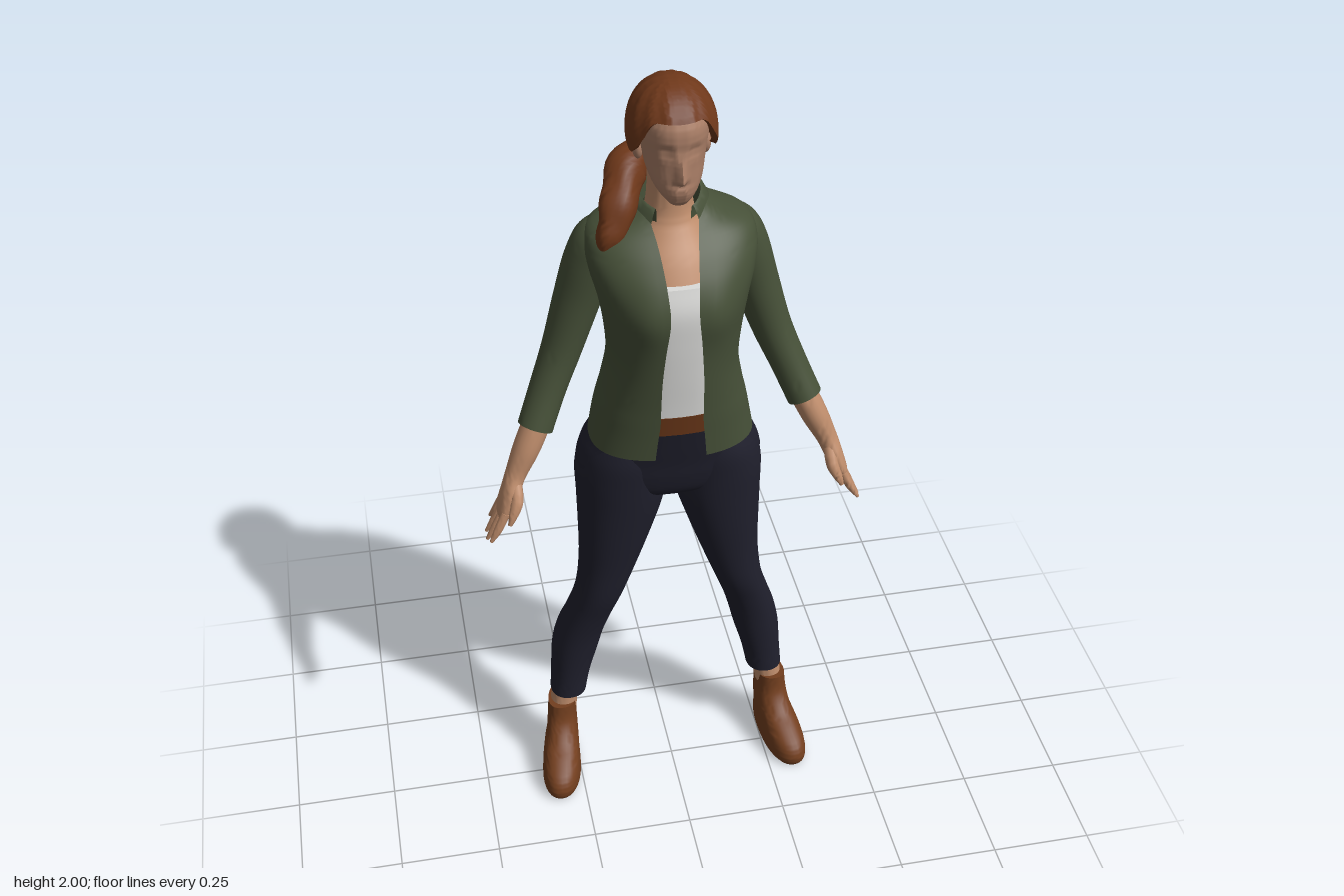
import * as THREE from 'three';
import { toCreasedNormals } from 'three/addons/utils/BufferGeometryUtils.js';

const paint = (name, color, side = THREE.FrontSide) => {
  const m = new THREE.MeshStandardMaterial({ color, side });
  m.name = name;
  return m;
};
const gauss = (d) => Math.exp(-d * d);
const spow = (v, p) => Math.sign(v) * Math.abs(v) ** p;
const clamp = THREE.MathUtils.clamp, smooth = THREE.MathUtils.smoothstep;

// Catmull-Rom interpolation of every column in a table of cross-sections
function sample(rows, t) {
  const f = t * (rows.length - 1), i = Math.min(Math.floor(f), rows.length - 2), k = f - i;
  const at = (j) => rows[clamp(j, 0, rows.length - 1)];
  return rows[0].map((_, c) => {
    const [a, b, d, e] = [at(i - 1)[c], at(i)[c], at(i + 1)[c], at(i + 2)[c]];
    return b + 0.5 * k * (d - a + k * (2 * a - 5 * b + 4 * d - e + k * (3 * (b - d) + e - a)));
  });
}

// Surface through a grid of points; side = -1 mirrors it in x
function grid(nu, nv, point, { closed = true, caps = true, side = 1 } = {}) {
  const pos = [], index = [], cols = closed ? nv : nv + 1;
  const tri = (a, b, c) => (side > 0 ? index.push(a, b, c) : index.push(a, c, b));
  for (let i = 0; i <= nu; i++)
    for (let j = 0; j < cols; j++) {
      const [x, y, z] = point(i / nu, j / nv);
      pos.push(x * side, y, z);
    }
  for (let i = 0; i < nu; i++)
    for (let j = 0; j < nv; j++) {
      const k = (j + 1) % cols, a = i * cols, b = a + cols;
      tri(a + j, a + k, b + k);
      tri(a + j, b + k, b + j);
    }
  if (caps && closed)
    for (const row of [0, nu]) {
      const c = [0, 0, 0], start = row * cols, mid = pos.length / 3;
      for (let j = 0; j < cols; j++) for (let q = 0; q < 3; q++) c[q] += pos[(start + j) * 3 + q] / cols;
      pos.push(...c);
      for (let j = 0; j < cols; j++) {
        const k = (j + 1) % cols;
        row ? tri(start + j, start + k, mid) : tri(start + k, start + j, mid);
      }
    }
  const g = new THREE.BufferGeometry();
  g.setAttribute('position', new THREE.Float32BufferAttribute(pos, 3));
  g.setIndex(index);
  return toCreasedNormals(g, 0.95);
}

// Horizontal rings, bottom to top: [y, x0, x1, zBack, zFront, frontGap]
function loft(rows, { n = 32, p = 0.92, rule = (v) => v, open = false, ...opt } = {}) {
  return grid((rows.length - 1) * 5, n, (u, v) => {
    const [y, x0, x1, zb, zf, gap] = sample(rows, u), hw = (x1 - x0) / 2;
    const a0 = open ? Math.asin(clamp(gap / hw, 0, 1) ** (1 / p)) : 0;
    const a = a0 + v * (Math.PI * 2 - 2 * a0);
    return rule([(x0 + x1) / 2 + hw * spow(Math.sin(a), p), y, (zb + zf) / 2 + ((zf - zb) / 2) * spow(Math.cos(a), p)]);
  }, { closed: !open, ...opt });
}
const symmetric = (rows) => rows.map(([y, w, ...r]) => [y, -w, w, ...r]);

// Rings along a path: [x, y, z, radius across, radius in depth]
function limb(rows, side = 1, n = 16, ripple = () => 1) {
  const Z = new THREE.Vector3(0, 0, 1);
  return grid((rows.length - 1) * 6, n, (u, v) => {
    const [x, y, z, ra, rb] = sample(rows, u);
    const p = sample(rows, Math.max(0, u - 0.01)), q = sample(rows, Math.min(1, u + 0.01));
    const T = new THREE.Vector3(q[0] - p[0], q[1] - p[1], q[2] - p[2]).normalize();
    const U = Z.clone().cross(T).normalize(), V = T.clone().cross(U);
    const a = v * Math.PI * 2, k = ripple(u, a);
    const o = U.multiplyScalar(ra * k * Math.cos(a)).addScaledVector(V, rb * k * Math.sin(a));
    return [x + o.x, y + o.y, z + o.z];
  }, { side });
}

export function createModel() {
  const model = new THREE.Group();
  const skin = paint('skin', 0xbf8d6c), faceSkin = paint('face skin', 0xac8068);
  const hair = paint('hair', 0x6f381a, THREE.DoubleSide), cloth = paint('jacket green', 0x465038, THREE.DoubleSide);
  const denim = paint('trouser navy', 0x20202d), leather = paint('boot leather', 0x733f1f);
  const white = paint('shirt white', 0xdcdcda), beltBrown = paint('belt brown', 0x653417);
  const add = (name, geometry, material) => {
    const m = new THREE.Mesh(geometry, material);
    m.name = name;
    model.add(m);
  };

  // Open jacket body, with the shirt set just inside it
  const torso = [
    [1.095, 0.195, -0.155, 0.12, 0.06], [1.15, 0.185, -0.16, 0.125, 0.055], [1.2, 0.175, -0.153, 0.13, 0.05],
    [1.25, 0.163, -0.145, 0.135, 0.049], [1.33, 0.15, -0.135, 0.144, 0.047], [1.42, 0.156, -0.133, 0.152, 0.04],
    [1.5, 0.17, -0.14, 0.155, 0.032], [1.56, 0.186, -0.145, 0.14, 0.035], [1.61, 0.193, -0.145, 0.11, 0.04],
    [1.65, 0.178, -0.135, 0.075, 0.046], [1.68, 0.115, -0.12, 0.045, 0.053], [1.705, 0.075, -0.105, 0.025, 0.055]];
  const chest = ([x, y, z]) =>
    [x, y, z + (z > 0 ? 0.014 * gauss((Math.abs(x) - 0.075) / 0.05) * gauss((y - 1.49) / 0.07) : 0)];
  add('jacket', loft(symmetric(torso), { n: 64, p: 0.84, open: true, rule: chest }), cloth);
  const shirtRows = torso.filter((r) => r[0] > 1.19 && r[0] < 1.57)
    .map(([y, w, b, f]) => [y, w - 0.012, b + 0.012, f - 0.01]);
  add('shirt', loft(symmetric(shirtRows), { n: 48, p: 0.84 }), white);

  // Folded collar, dropping toward the front
  const fold = [[0.066, 0.062, -0.03], [0.066, 0.066, 0.03], [0.076, 0.074, 0.034], [0.104, 0.092, -0.02]];
  add('collar', grid(12, 40, (u, v) => {
    const a = 0.62 + v * (Math.PI * 2 - 1.24), [rx, rz, dy] = sample(fold, u);
    const front = (1 + Math.cos(a)) / 2;
    return [rx * Math.sin(a), 1.71 + dy - 0.045 * front, -0.035 + (rz + 0.012 * front) * Math.cos(a)];
  }, { closed: false }), cloth);

  // Belt and hips
  add('belt', loft(symmetric([[1.165, 0.17, -0.143, 0.121], [1.215, 0.163, -0.14, 0.123]]), { p: 0.84 }), beltBrown);
  add('hips', loft(symmetric([
    [0.915, 0.09, -0.09, 0.02], [0.95, 0.19, -0.135, 0.06], [1.0, 0.222, -0.155, 0.078], [1.05, 0.212, -0.157, 0.088],
    [1.1, 0.186, -0.145, 0.1], [1.175, 0.166, -0.138, 0.117]]), { n: 40, p: 0.86 }), denim);

  // Neck and upper chest
  add('neck', loft(symmetric([
    [1.55, 0.11, -0.1, 0.12], [1.6, 0.1, -0.095, 0.09], [1.645, 0.075, -0.088, 0.056], [1.68, 0.056, -0.085, 0.036],
    [1.73, 0.049, -0.08, 0.03], [1.81, 0.048, -0.075, 0.03]])), skin);

  // Head, shaped with nose, eye sockets and lips
  const face = ([x, y, z]) => {
    if (z < 0.04) return [x, y, z];
    const nose = 0.024 * gauss(x / 0.011) * clamp((1.885 - y) / 0.067, 0, 1) * smooth(y, 1.8, 1.816);
    const eyes = 0.008 * gauss((Math.abs(x) - 0.029) / 0.014) * gauss((y - 1.877) / 0.013);
    const lips = 0.006 * gauss(x / 0.02) * gauss((y - 1.786) / 0.009);
    return [x, y, z + nose - eyes + lips];
  };
  add('head', loft(symmetric([
    [1.748, 0.02, 0.05, 0.094], [1.765, 0.036, 0.015, 0.106], [1.785, 0.05, -0.015, 0.108], [1.81, 0.06, -0.05, 0.108],
    [1.84, 0.066, -0.075, 0.108], [1.87, 0.071, -0.09, 0.11], [1.91, 0.076, -0.095, 0.113], [1.945, 0.07, -0.09, 0.102],
    [1.98, 0.04, -0.05, 0.06]]), { n: 72, rule: face }), faceSkin);

  // Swept-back hair with a hairline that falls behind the ears
  add('hair', grid(28, 96, (u, v) => {
    const a = v * Math.PI * 2, off = Math.abs(a > Math.PI ? a - Math.PI * 2 : a);
    const limit = 1.06 + 0.85 * smooth(off, 0.55, 1.4) + 0.6 * smooth(off, 1.5, 2.8);
    const t = 0.001 + Math.min(u / 0.93, 1) * limit;
    const strand = 1 + 0.014 * Math.sin(t) * Math.sin(off * 13 + t * 4);
    const k = strand * (u > 0.95 ? 0.86 : 1);
    return [0.098 * k * Math.sin(t) * Math.sin(a), 1.885 + 0.114 * k * Math.cos(t), 0.122 * k * Math.sin(t) * Math.cos(a)];
  }, { caps: false }), hair);
  add('ponytail', limb([
    [0.01, 1.87, -0.085, 0.03, 0.03], [-0.005, 1.82, -0.098, 0.05, 0.03], [-0.04, 1.78, -0.095, 0.05, 0.036],
    [-0.085, 1.765, -0.06, 0.045, 0.04], [-0.108, 1.73, -0.015, 0.042, 0.04], [-0.128, 1.68, 0.02, 0.038, 0.035],
    [-0.148, 1.64, 0.035, 0.024, 0.022], [-0.158, 1.6, 0.038, 0.006, 0.006]], 1, 24,
  (u, a) => 1 + 0.06 * Math.sin(u * 32) + 0.05 * Math.sin(a * 4 + u * 14)), hair);

  for (const side of [1, -1]) {
    const label = side > 0 ? 'left' : 'right';
    const ear = new THREE.SphereGeometry(1, 12, 10).scale(0.012, 0.026, 0.016);
    add(label + 'Ear', ear.translate(side * 0.073, 1.845, 0.002), faceSkin);

    // Sleeve, forearm and hand
    add(label + 'Sleeve', limb([
      [0.125, 1.635, -0.045, 0.03, 0.05], [0.15, 1.605, -0.047, 0.055, 0.066], [0.175, 1.55, -0.052, 0.058, 0.066],
      [0.206, 1.45, -0.055, 0.054, 0.06], [0.245, 1.33, -0.048, 0.047, 0.052], [0.284, 1.235, -0.028, 0.043, 0.046],
      [0.321, 1.147, 0, 0.042, 0.042]], side, 24), cloth);
    add(label + 'Forearm', limb([
      [0.306, 1.18, -0.008, 0.033, 0.034], [0.344, 1.1, 0.01, 0.032, 0.035], [0.375, 1.035, 0.022, 0.025, 0.028],
      [0.392, 0.992, 0.03, 0.022, 0.038], [0.41, 0.95, 0.032, 0.016, 0.041], [0.418, 0.932, 0.032, 0.009, 0.036]],
    side, 20), skin);
    [[0, -0.012, 0.045], [0.022, 0.018, 0.068], [0.044, 0.046, 0.07], [0.064, 0.074, 0.058]].forEach(([z0, z1, len], i) =>
      add(label + 'Finger' + (i + 1), limb([
        [0.408, 0.952, z0, 0.011, 0.011], [0.412 + len * 0.3, 0.935 - len * 0.45, (z0 + z1) / 2, 0.01, 0.01],
        [0.415 + len * 0.57, 0.935 - len * 0.97, z1, 0.004, 0.004]], side, 10), skin));
    add(label + 'Thumb', limb([
      [0.378, 1.025, 0.035, 0.014, 0.014], [0.38, 0.985, 0.066, 0.015, 0.014], [0.392, 0.955, 0.08, 0.011, 0.01],
      [0.402, 0.932, 0.086, 0.005, 0.005]], side, 10), skin);

    // Trouser leg
    add(label + 'Leg', loft([
      [0.235, 0.218, 0.311, -0.122, -0.02], [0.3, 0.205, 0.306, -0.135, -0.018], [0.38, 0.182, 0.3, -0.147, -0.012],
      [0.45, 0.165, 0.285, -0.14, -0.004], [0.52, 0.145, 0.262, -0.118, 0.01], [0.6, 0.117, 0.238, -0.11, 0.03],
      [0.7, 0.08, 0.226, -0.118, 0.042], [0.8, 0.045, 0.225, -0.13, 0.055], [0.9, 0.014, 0.226, -0.148, 0.067],
      [0.98, 0.004, 0.226, -0.168, 0.076], [1.05, 0.01, 0.208, -0.167, 0.082], [1.11, 0.03, 0.17, -0.135, 0.075]],
    { side }), denim);

    // Ankle and boot, toe turned out and wider than the heel
    add(label + 'Ankle', loft([[0.17, 0.245, 0.318, -0.11, -0.032], [0.25, 0.238, 0.302, -0.105, -0.035]], { side }), skin);
    add(label + 'Boot', loft([
      [0, 0.257, 0.343, -0.138, 0.112], [0.012, 0.25, 0.35, -0.143, 0.119], [0.035, 0.249, 0.35, -0.143, 0.12],
      [0.06, 0.25, 0.348, -0.14, 0.104], [0.085, 0.25, 0.344, -0.136, 0.065], [0.11, 0.25, 0.338, -0.13, 0.02],
      [0.15, 0.251, 0.335, -0.124, -0.014], [0.2, 0.25, 0.331, -0.122, -0.022]], {
      side, n: 36, p: 0.88,
      rule: ([x, y, z]) => [0.298 + (x - 0.298) * (1 + 1.2 * z) + 0.13 * z, y, z],
    }), leather);
  }
  return model;
}
